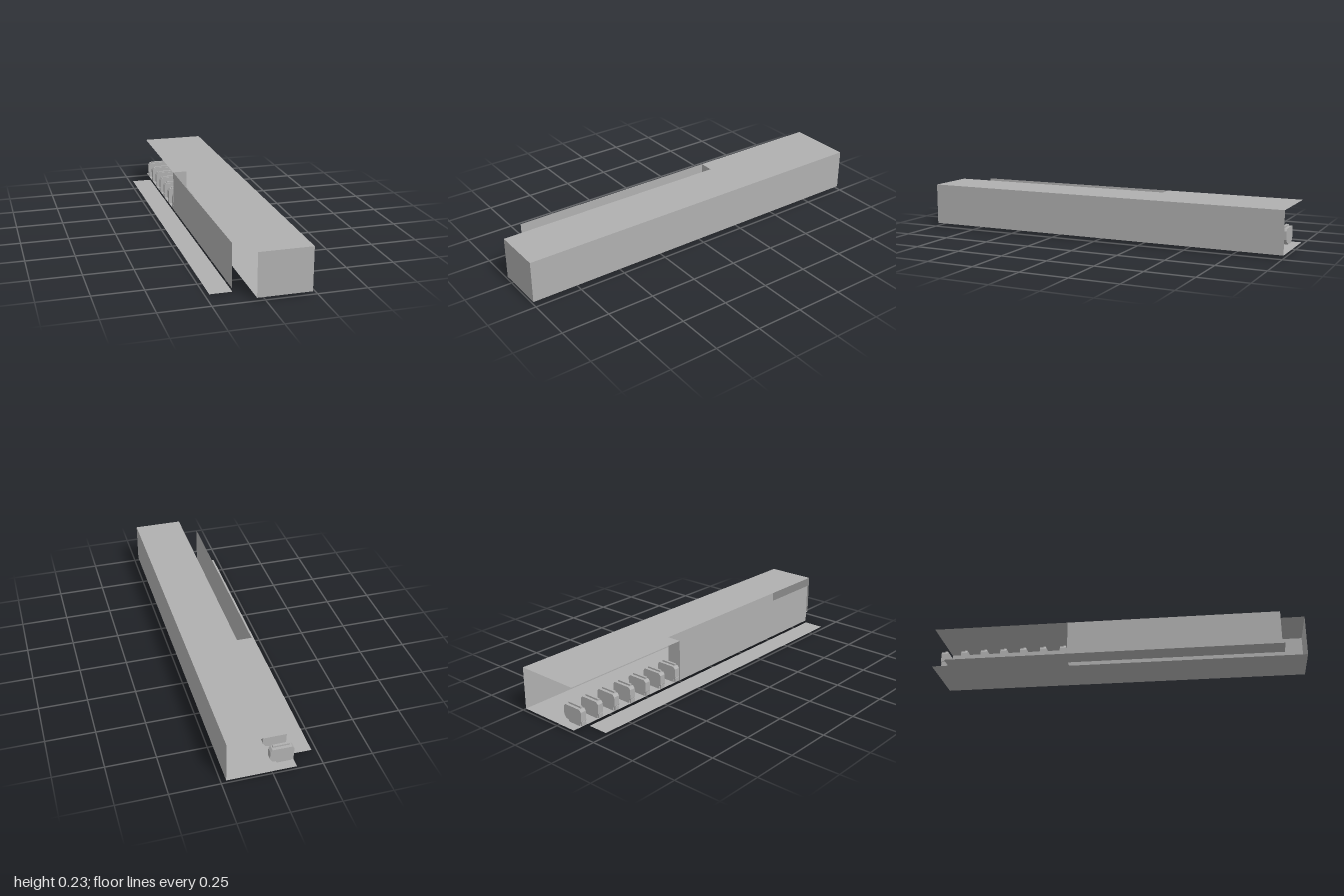
import * as THREE from 'three';

export function createModel() {
  const group = new THREE.Group();
  const grey = new THREE.MeshStandardMaterial({ color: 0xb0b0b0, side: THREE.DoubleSide });
  grey.name = 'plain grey';

  const FLOOR = 0.015, ROOF = 0.235, H = ROOF - FLOOR;
  const LEFT = 0.227, NOTCH = -0.04, RIGHT = -0.118, STEP = -0.265;

  function add(name, geometry, parent = group) {
    const mesh = new THREE.Mesh(geometry, grey);
    mesh.name = name;
    parent.add(mesh);
    return mesh;
  }

  // Horizontal sheet from an outline of [x, z] points
  function sheet(name, outline, y) {
    const shape = new THREE.Shape(outline.map(([x, z]) => new THREE.Vector2(x, -z)));
    add(name, new THREE.ShapeGeometry(shape).rotateX(-Math.PI / 2)).position.y = y;
  }

  // Upright sheet between two floor points
  function wall(name, x0, z0, x1, z1) {
    const mesh = add(name, new THREE.PlaneGeometry(Math.hypot(x1 - x0, z1 - z0), H));
    mesh.position.set((x0 + x1) / 2, FLOOR + H / 2, (z0 + z1) / 2);
    mesh.rotation.y = -Math.atan2(z1 - z0, x1 - x0);
  }

  // Notched floor and roof
  const plan = [[LEFT, -1], [LEFT, 1], [NOTCH, 1], [NOTCH, STEP], [RIGHT, STEP], [RIGHT, -1]];
  sheet('floor', plan, FLOOR);
  sheet('roof', plan, ROOF);

  // Walls; the back and the rear right side stay open
  wall('frontWall', NOTCH, 1, LEFT, 1);
  wall('leftWall', LEFT, 1, LEFT, -1);
  wall('stepWall', RIGHT, STEP, NOTCH, STEP);
  wall('rightScreen', RIGHT, STEP, RIGHT, 0.868);

  // Low walkway beside the building
  sheet('walkway', [[-0.117, -0.9], [-0.117, 0.875], [-0.227, 0.875], [-0.227, -0.9]], 0);

  // Row of small chamfered units standing on the floor
  const profile = new THREE.Shape([
    [-0.108, 0.015], [-0.035, 0.015], [-0.028, 0.026], [-0.012, 0.028], [0, 0.045],
    [0, 0.088], [-0.01, 0.1], [-0.108, 0.1], [-0.118, 0.088], [-0.118, 0.04], [-0.108, 0.03],
  ].map(([x, y]) => new THREE.Vector2(x, y)));
  const body = new THREE.ExtrudeGeometry(profile, { depth: 0.032, bevelEnabled: false });
  const ridge = new THREE.BoxGeometry(0.085, 0.009, 0.012);
  const foot = new THREE.BoxGeometry(0.022, 0.022, 0.026);
  for (let i = 0; i < 7; i++) {
    const unit = new THREE.Group();
    unit.name = 'unit' + (i + 1);
    add('unitBody', body, unit);
    add('unitRidge', ridge, unit).position.set(-0.059, 0.104, 0.022);
    add('unitFoot', foot, unit).position.set(-0.107, 0.026, 0.018);
    unit.position.z = -0.952 + i * 0.108;
    group.add(unit);
  }

  return group;
}
